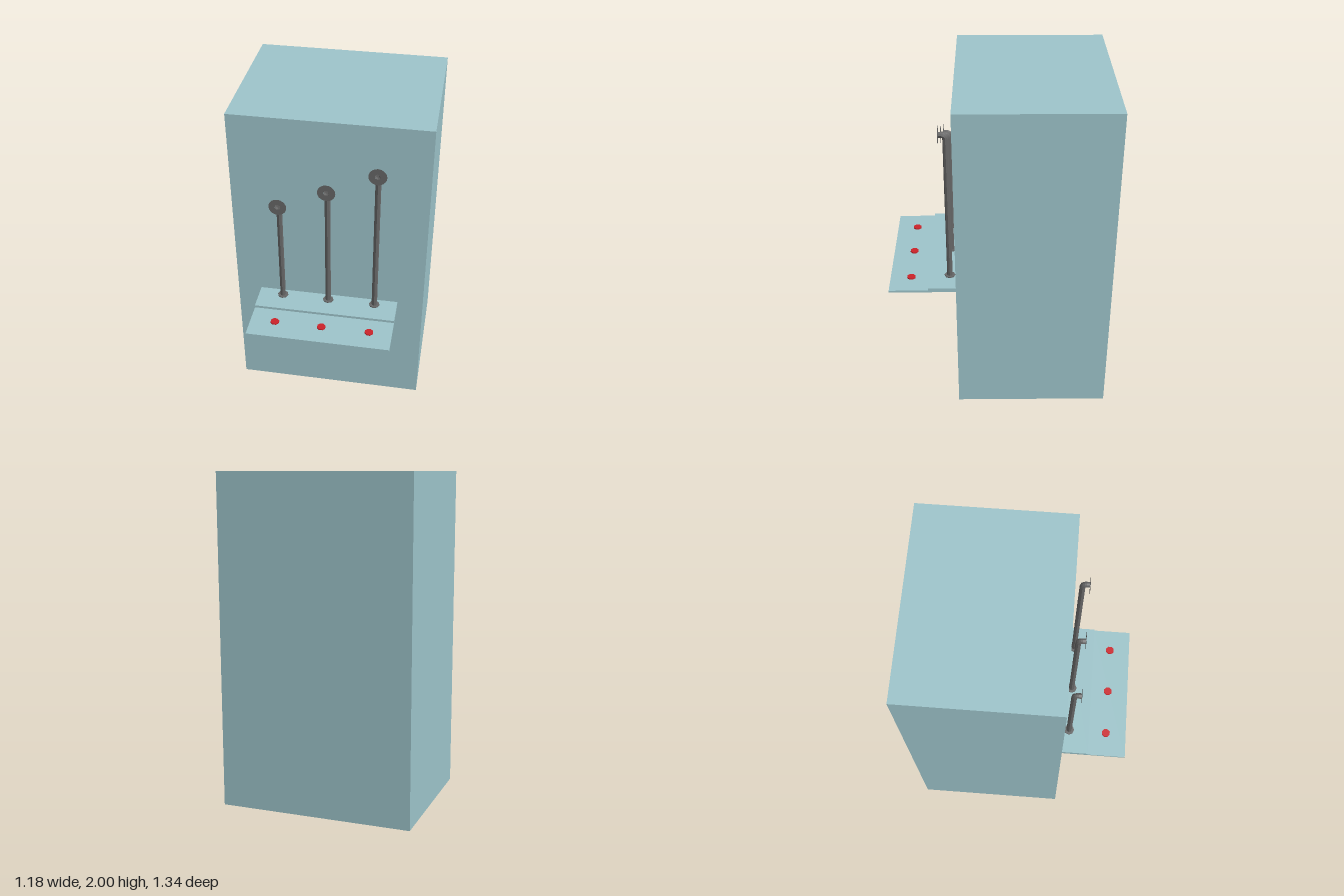
import * as THREE from 'three';

export function createModel() {
  const model = new THREE.Group();
  const teal = new THREE.MeshStandardMaterial({ color: 0x9dc4ca });
  const red = new THREE.MeshStandardMaterial({ color: 0xcc2229, flatShading: true });
  const steel = new THREE.MeshStandardMaterial({ color: 0x666666, flatShading: true, side: THREE.DoubleSide });

  const add = (parent, name, geometry, material, x, y, z) => {
    const mesh = new THREE.Mesh(geometry, material);
    mesh.name = name;
    mesh.position.set(x, y, z);
    parent.add(mesh);
    return mesh;
  };
  // Box given by its limits
  const addBox = (name, x0, x1, y0, y1, z0, z1) =>
    add(model, name, new THREE.BoxGeometry(x1 - x0, y1 - y0, z1 - z0), teal,
      (x0 + x1) / 2, (y0 + y1) / 2, (z0 + z1) / 2);

  addBox('cabinet', -0.588, 0.588, 0, 2, -0.67, 0.252);

  // Stepped shelf: a raised strip at the back, a thin ledge in front
  const stepTop = 0.764, ledgeTop = 0.748, shelfBottom = 0.735;
  addBox('shelfStep', -0.44, 0.43, shelfBottom, stepTop, 0.252, 0.43);
  addBox('shelfLedge', -0.44, 0.43, shelfBottom, ledgeTop, 0.43, 0.67);

  // Three pipes rising to the left, each with a button in front
  const sides = 8, r = 0.017, bend = 0.024, pipeZ = 0.3, mouthZ = 0.343;
  const outlets = [[-0.288, 1.465], [0, 1.595], [0.291, 1.735]];
  for (const [x, top] of outlets) {
    const pipe = new THREE.Group();
    pipe.name = 'pipe';
    pipe.position.set(x, 0, pipeZ);
    model.add(pipe);

    add(pipe, 'baseFlange', new THREE.CylinderGeometry(0.033, 0.033, 0.006, sides), steel, 0, stepTop + 0.003, 0);

    const height = top - bend - stepTop;
    add(pipe, 'riser', new THREE.CylinderGeometry(r, r, height, sides, 1, true), steel, 0, stepTop + height / 2, 0);

    // Quarter turn from upright to facing front
    const elbow = new THREE.TorusGeometry(bend, r, sides, 5, Math.PI / 2).rotateY(Math.PI / 2);
    add(pipe, 'elbow', elbow, steel, 0, top - bend, bend);

    const length = mouthZ - pipeZ - bend;
    const spout = new THREE.CylinderGeometry(r, r, length, sides, 1, true).rotateX(Math.PI / 2);
    add(pipe, 'spout', spout, steel, 0, top, bend + length / 2);

    add(pipe, 'mouthFlange', new THREE.RingGeometry(r, 0.053, 20), steel, 0, top, mouthZ - pipeZ);

    add(model, 'button', new THREE.CylinderGeometry(0.027, 0.027, 0.008, sides).rotateY(Math.PI / 8), red,
      x, ledgeTop + 0.004, 0.541);
  }
  return model;
}
